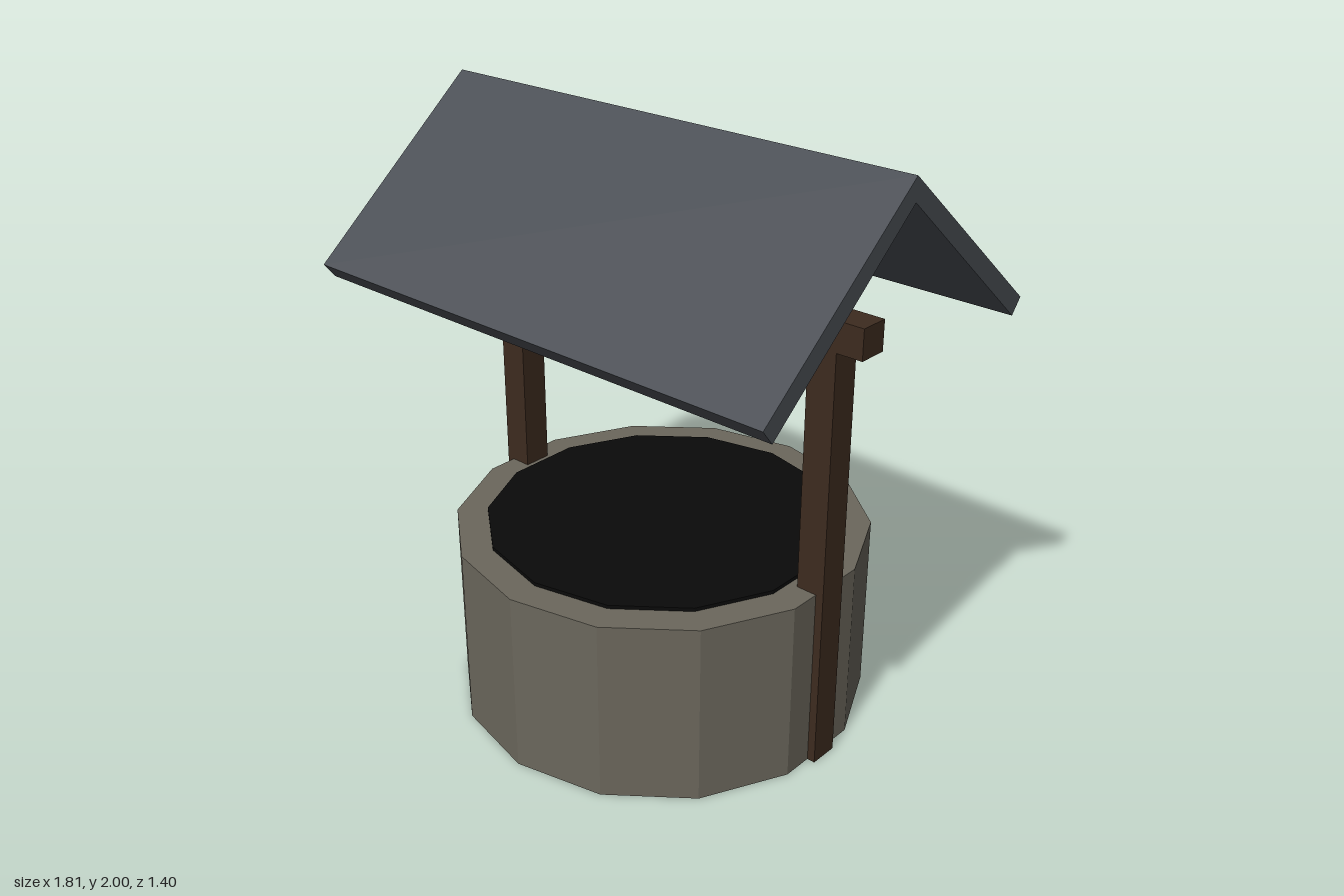
import * as THREE from 'three';

const material = (name, color) => {
  const m = new THREE.MeshStandardMaterial({ color, flatShading: true });
  m.name = name;
  return m;
};

export function createModel() {
  const stone = material('stone', 0x6b675c);
  const wood = material('dark wood', 0x3d2b1f);
  const slate = material('slate', 0x4a4e54);
  const black = material('dark water', 0x0a0a0a);

  const well = new THREE.Group();
  well.name = 'well';
  const add = (name, geometry, mat, x = 0, y = 0, z = 0) => {
    const mesh = new THREE.Mesh(geometry, mat);
    mesh.name = name;
    mesh.position.set(x, y, z);
    well.add(mesh);
    return mesh;
  };

  // Fourteen-sided stone wall, dark underneath
  const sides = 14, wallHeight = 0.63;
  add('wall', new THREE.CylinderGeometry(0.7, 0.7, wallHeight, sides), [stone, stone, black], 0, wallHeight / 2);

  // Dark opening, standing just proud of the rim
  add('opening', new THREE.CylinderGeometry(0.595, 0.595, 0.02, sides), black, 0, 0.632);

  // Posts and the beam across them
  for (const [name, side] of [['leftPost', 1], ['rightPost', -1]]) {
    add(name, new THREE.BoxGeometry(0.1, 1.45, 0.1), wood, side * 0.66, 0.725);
  }
  add('beam', new THREE.BoxGeometry(1.6, 0.1, 0.1), wood, 0, 1.5);

  // Gabled roof: a chevron section run along x
  const section = new THREE.Shape([
    [0, 2], [-0.627, 1.478], [-0.587, 1.428], [0, 1.925], [0.587, 1.428], [0.627, 1.478],
  ].map(([z, y]) => new THREE.Vector2(z, y)));
  const length = 1.81;
  const roof = new THREE.ExtrudeGeometry(section, { depth: length, bevelEnabled: false });
  roof.translate(0, 0, -length / 2);
  roof.rotateY(Math.PI / 2);
  add('roof', roof, slate);

  return well;
}
